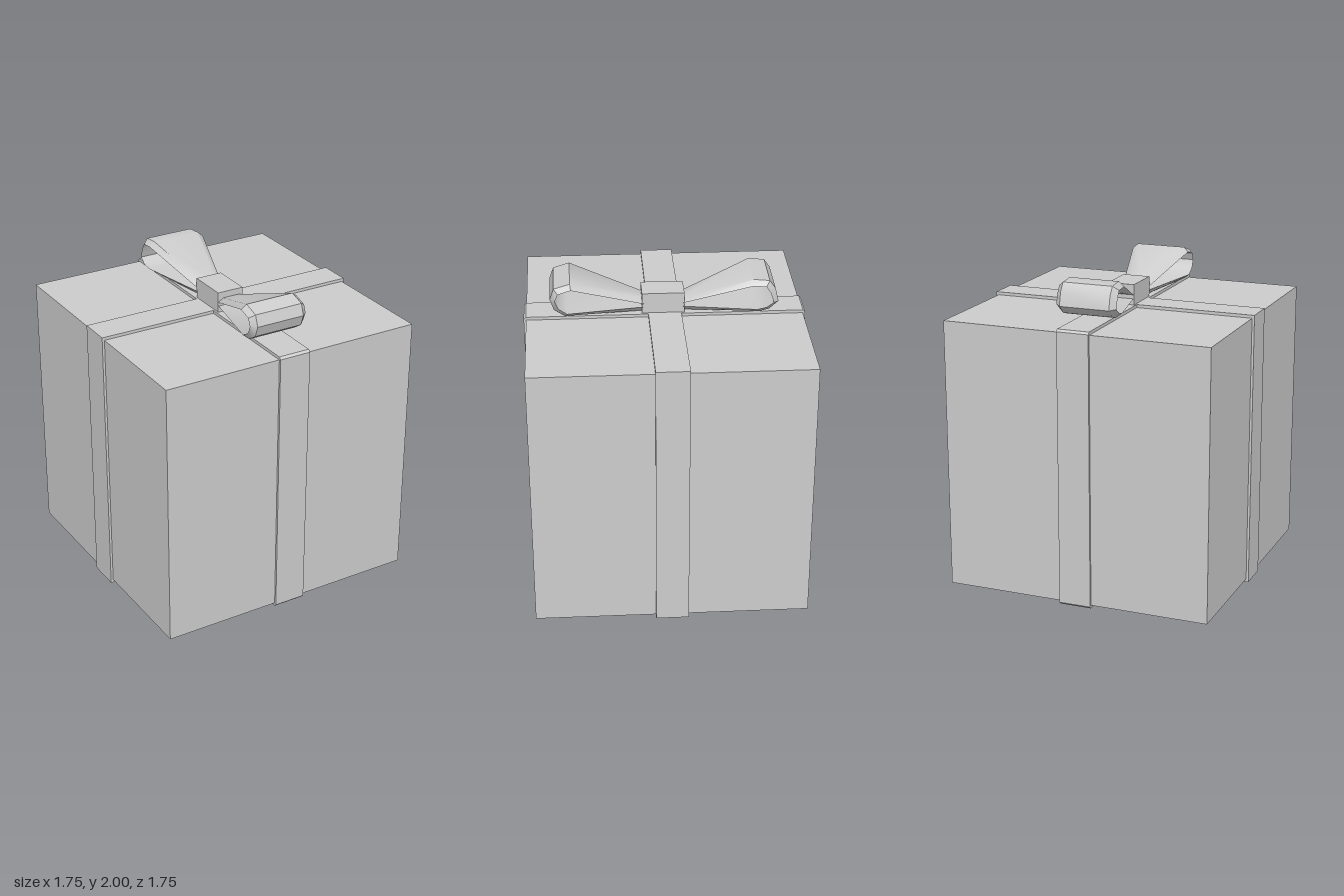
import * as THREE from 'three';
import { toCreasedNormals } from 'three/addons/utils/BufferGeometryUtils.js';

const material = new THREE.MeshStandardMaterial({ color: 0xcccccc });

function addMesh(parent, name, geometry, x = 0, y = 0, z = 0) {
  const mesh = new THREE.Mesh(geometry, material);
  mesh.name = name;
  mesh.position.set(x, y, z);
  parent.add(mesh);
  return mesh;
}

// Bow loop swept along a side profile; each row is
// [outer z, outer y, inner z, inner y, half width of the outer face].
// The inner face is wider, which gives the bevelled ribbon edges.
function loopGeometry(rows) {
  const flare = 0.035;
  const positions = [];
  const index = [];
  for (const [oz, oy, iz, iy, w] of rows) {
    positions.push(-w, oy, oz, w, oy, oz, w + flare, iy, iz, -w - flare, iy, iz);
  }
  for (let i = 0; i < rows.length - 1; i++) {
    for (let j = 0; j < 4; j++) {
      const a = i * 4 + j;
      const b = i * 4 + ((j + 1) % 4);
      index.push(a, a + 4, b + 4, a, b + 4, b);
    }
  }
  // End caps, hidden in the knot
  const e = (rows.length - 1) * 4;
  index.push(0, 1, 2, 0, 2, 3, e, e + 2, e + 1, e, e + 3, e + 2);
  const geometry = new THREE.BufferGeometry();
  geometry.setAttribute('position', new THREE.Float32BufferAttribute(positions, 3));
  geometry.setIndex(index);
  return toCreasedNormals(geometry, 0.6);
}

export function createModel() {
  const group = new THREE.Group();

  // Box
  addMesh(group, 'box', new THREE.BoxGeometry(1.72, 1.717, 1.72), 0, 0.879, 0);

  // Ribbon running front to back, with small chamfers on its long corners
  const h = 1.757, r = 0.875, c = 0.014, half = 0.103;
  const band = new THREE.Shape([
    [-r, c], [-r + c, 0], [r - c, 0], [r, c],
    [r, h - c], [r - c, h], [-r + c, h], [-r, h - c],
  ].map(([x, y]) => new THREE.Vector2(x, y)));
  const bandGeometry = new THREE.ExtrudeGeometry(band, { depth: half * 2, bevelEnabled: false });
  bandGeometry.translate(0, 0, -half).rotateY(Math.PI / 2);
  addMesh(group, 'ribbonFrontToBack', bandGeometry);

  // Ribbon running side to side, one half on each side of the crossing
  for (const side of [-1, 1]) {
    addMesh(group, side > 0 ? 'ribbonLeft' : 'ribbonRight',
      new THREE.BoxGeometry(r - half, h, half * 2), side * (r + half) / 2, h / 2, 0);
  }

  // Bow knot
  addMesh(group, 'bowKnot', new THREE.BoxGeometry(0.176, 0.13, 0.264), -0.003, 1.822, 0.01);

  // Bow loops, the two slightly different in outline
  const bow = new THREE.Group();
  bow.name = 'bow';
  group.add(bow);
  addMesh(bow, 'frontLoop', loopGeometry([
    [0.1, 1.832, 0.1, 1.808, 0.045],
    [0.585, 2.0, 0.58, 1.972, 0.16],
    [0.685, 1.97, 0.66, 1.947, 0.16],
    [0.71, 1.9, 0.68, 1.9, 0.16],
    [0.685, 1.83, 0.66, 1.852, 0.16],
    [0.62, 1.787, 0.605, 1.815, 0.16],
    [0.1, 1.758, 0.1, 1.797, 0.045],
  ]));
  addMesh(bow, 'backLoop', loopGeometry([
    [-0.09, 1.835, -0.09, 1.81, 0.045],
    [-0.54, 2.0, -0.537, 1.97, 0.16],
    [-0.64, 1.99, -0.617, 1.963, 0.16],
    [-0.677, 1.937, -0.645, 1.92, 0.16],
    [-0.697, 1.852, -0.664, 1.857, 0.16],
    [-0.64, 1.8, -0.62, 1.825, 0.16],
    [-0.58, 1.783, -0.563, 1.81, 0.155],
    [-0.09, 1.758, -0.09, 1.795, 0.045],
  ].reverse()));

  return group;
}
